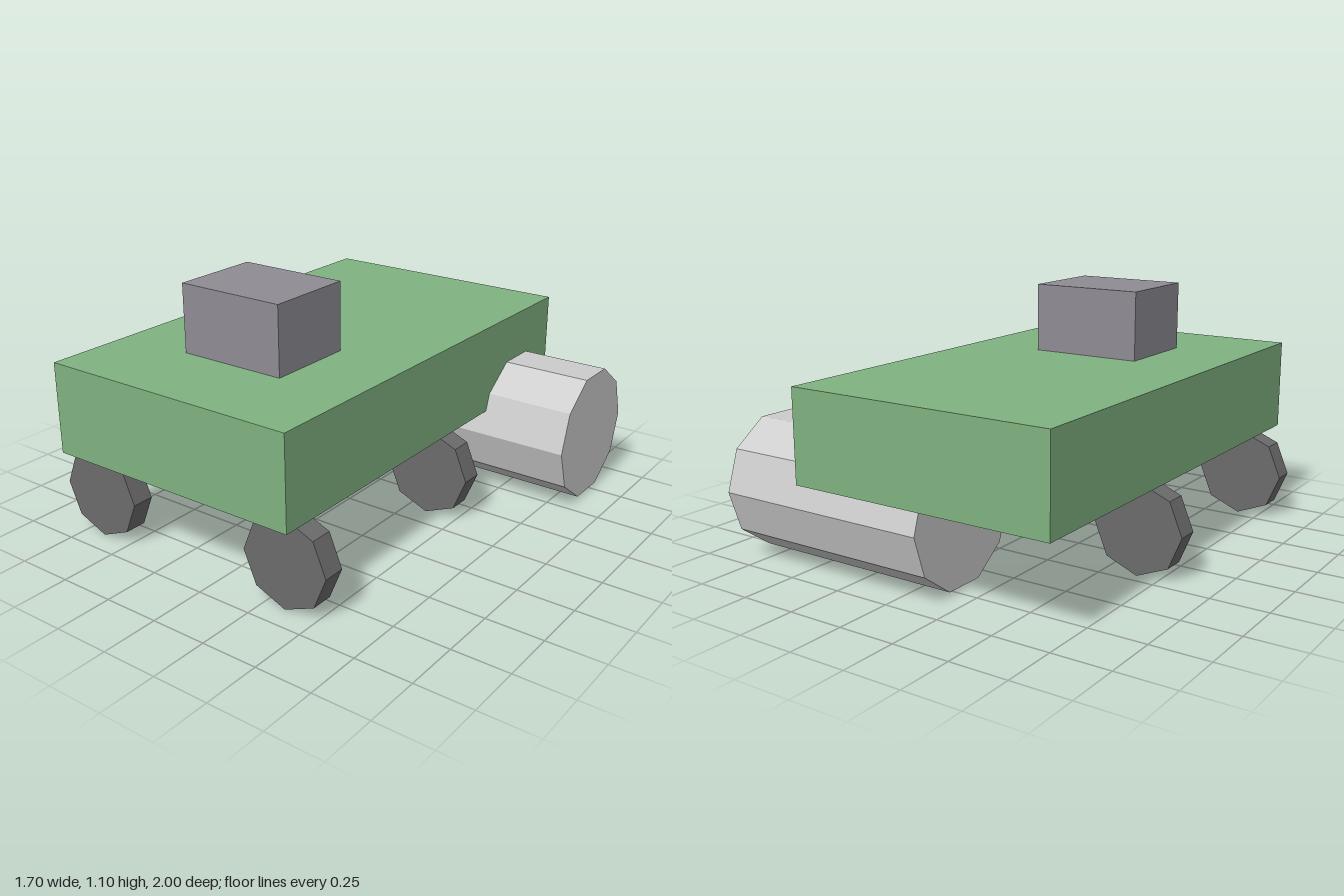
import * as THREE from 'three';

const material = (color) => new THREE.MeshStandardMaterial({ color, flatShading: true });

function addPart(parent, name, geometry, mat, x, y, z) {
  const mesh = new THREE.Mesh(geometry, mat);
  mesh.name = name;
  mesh.position.set(x, y, z);
  parent.add(mesh);
  return mesh;
}

export function createModel() {
  const model = new THREE.Group();
  model.name = 'vehicle';

  // Long flat body with a small cabin on top
  addPart(model, 'body', new THREE.BoxGeometry(1.2, 0.4, 2), material(0x7fb280), -0.15, 0.6, 0);
  addPart(model, 'cabin', new THREE.BoxGeometry(0.5, 0.3, 0.4), material(0x8e8c93), -0.15, 0.95, 0.4);

  // Ten-sided roller lying across the rear, sticking out on the left
  const rollerGeometry = new THREE.CylinderGeometry(0.3, 0.3, 1, 10).rotateZ(Math.PI / 2);
  addPart(model, 'rearRoller', rollerGeometry, material(0xcccccc), 0.35, 0.3, -0.7);

  // Four octagonal wheels facing front and back
  const wheelGeometry = new THREE.CylinderGeometry(0.2, 0.2, 0.1, 8).rotateX(Math.PI / 2);
  const wheelMaterial = material(0x6b6b6b);
  for (const [row, z] of [['front', 0.85], ['middle', -0.15]]) {
    for (const [side, x] of [['Right', -0.65], ['Left', 0.35]]) {
      addPart(model, `${row}${side}Wheel`, wheelGeometry, wheelMaterial, x, 0.2, z);
    }
  }

  return model;
}
